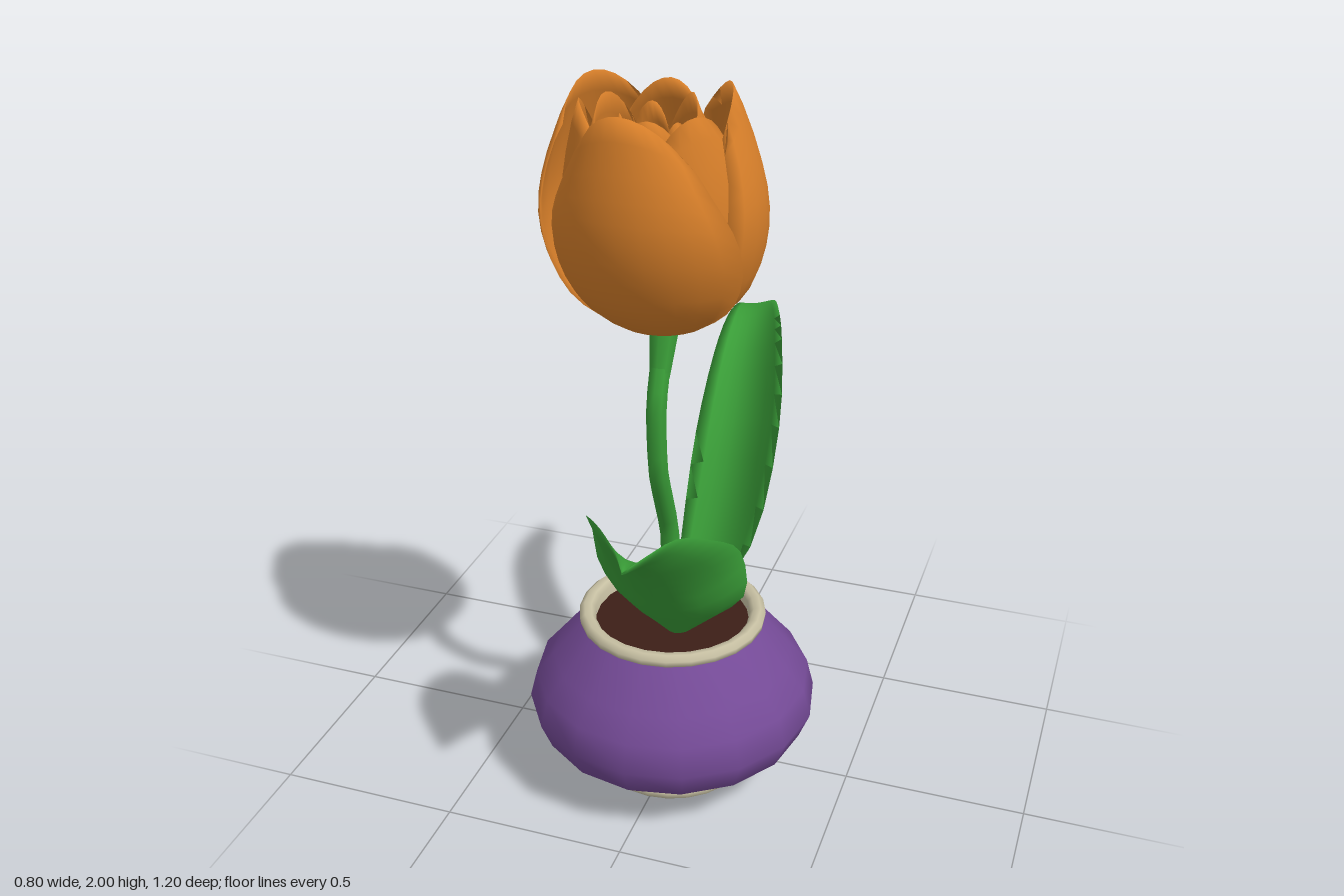
import * as THREE from 'three';
import { ParametricGeometry } from 'three/addons/geometries/ParametricGeometry.js';

const V = (x, y, z) => new THREE.Vector3(x, y, z);
const paint = (color, side = THREE.FrontSide) =>
  new THREE.MeshStandardMaterial({ color, side });
const POT_Z = 0.06;

export function createModel() {
  const model = new THREE.Group();
  const orange = paint(0xd9802a, THREE.DoubleSide);
  const green = paint(0x3a9e38, THREE.DoubleSide);
  const purple = paint(0x744a96, THREE.DoubleSide);
  const cream = paint(0xc6bfa2);
  const brown = paint(0x3d1f17);

  const add = (name, geometry, material, parent = model) => {
    const mesh = new THREE.Mesh(geometry, material);
    mesh.name = name;
    parent.add(mesh);
    return mesh;
  };

  // Thin closed blade: the section runs across one face and back along the other.
  // point(u, v, t, target): u from -1 to 1 across, v from base to tip, t signed half thickness
  const blade = (point, thickness, across, along) =>
    new ParametricGeometry((s, v, target) => {
      const front = s <= 0.5;
      const u = front ? s * 4 - 1 : 3 - s * 4;
      const edge = Math.sqrt(Math.max(0, 1 - u * u)) * Math.sqrt(Math.max(0, 1 - v ** 6));
      point(u, v, (front ? 1 : -1) * thickness * edge, target);
    }, across * 2, along);

  // Pot, made of turned profiles
  const lathe = (name, profile, material, sides) => {
    const points = profile.map(([r, y]) => new THREE.Vector2(r, y));
    add(name, new THREE.LatheGeometry(points, sides), material).position.z = POT_Z;
  };
  lathe('potBody', [[0.18, 0.04], [0.23, 0.06], [0.31, 0.105], [0.37, 0.155], [0.4, 0.23],
    [0.38, 0.31], [0.33, 0.37], [0.24, 0.48], [0.215, 0.48]], purple, 16);
  lathe('potFoot', [[0, 0], [0.2, 0], [0.215, 0.012], [0.217, 0.03], [0.205, 0.048],
    [0.18, 0.052]], cream, 24);
  lathe('potRim', [[0.21, 0.45], [0.24, 0.472], [0.255, 0.482], [0.257, 0.498], [0.243, 0.511],
    [0.224, 0.508], [0.213, 0.495], [0.21, 0.45]], cream, 24);
  const soil = add('soil', new THREE.CircleGeometry(0.22, 16), brown);
  soil.rotation.x = -Math.PI / 2;
  soil.position.set(0, 0.47, POT_Z);

  // Bent stem with a flared top under the flower
  const stemPath = new THREE.CatmullRomCurve3([
    V(0, 0.46, 0.075), V(0, 0.62, 0.075), V(0, 0.77, 0.085), V(0, 0.98, 0.168),
    V(0, 1.17, 0.182), V(0, 1.32, 0.132), V(0, 1.38, 0.118)], false, 'catmullrom', 0.3);
  add('stem', new THREE.TubeGeometry(stemPath, 16, 0.027, 8), green);
  const flare = add('stemTop', new THREE.CylinderGeometry(0.04, 0.027, 0.13, 8), green);
  flare.position.set(0, 1.31, 0.136);
  flare.rotation.x = -0.3;

  // Leaves: a curved sheet through a left edge, a sagging midrib and a right edge
  const leaf = (name, left, middle, right, normal) => {
    const [L, M, R] = [left, middle, right].map(
      (pts) => new THREE.CatmullRomCurve3(pts.map((p) => V(...p))));
    const n = V(...normal).normalize();
    add(name, blade((u, v, t, target) => {
      const l = L.getPoint(v), m = M.getPoint(v), r = R.getPoint(v);
      target.copy(m).multiplyScalar(1 - u * u)
        .addScaledVector(l, (u * u - u) / 2)
        .addScaledVector(r, (u * u + u) / 2)
        .addScaledVector(n, t);
    }, 0.008, 8, 18), green);
  };
  leaf('backLeaf',
    [[0, 0.48, 0.05], [0, 0.7, -0.02], [0, 0.95, -0.14], [0, 1.12, -0.3],
      [0, 1.18, -0.42], [0, 1.18, -0.52], [0, 1.15, -0.6]],
    [[0.03, 0.47, 0.04], [0.1, 0.68, -0.05], [0.12, 0.97, -0.2], [0.1, 1.12, -0.33],
      [0.08, 1.18, -0.44], [0.05, 1.18, -0.53], [0.015, 1.14, -0.6]],
    [[0.06, 0.48, 0.06], [0.21, 0.72, 0.03], [0.25, 1.03, -0.08], [0.2, 1.2, -0.27],
      [0.15, 1.23, -0.41], [0.1, 1.2, -0.53], [0.03, 1.14, -0.6]],
    [0, 1, 1]);
  leaf('frontLeaf',
    [[-0.02, 0.48, 0.08], [-0.17, 0.62, 0.13], [-0.18, 0.8, 0.19], [-0.13, 0.93, 0.35],
      [-0.04, 0.98, 0.48], [0.03, 0.97, 0.56], [0.06, 0.945, 0.6]],
    [[0.03, 0.47, 0.12], [0.03, 0.58, 0.21], [0.03, 0.7, 0.3], [0.04, 0.82, 0.4],
      [0.05, 0.9, 0.49], [0.06, 0.93, 0.56], [0.06, 0.94, 0.6]],
    [[0.08, 0.48, 0.08], [0.22, 0.62, 0.12], [0.23, 0.8, 0.19], [0.2, 0.92, 0.35],
      [0.15, 0.98, 0.47], [0.1, 0.97, 0.56], [0.06, 0.945, 0.6]],
    [0, -1, 1]);

  // Flower: rings of cupped petals, each overlapping the next, leaning forward with height
  const flower = new THREE.Group();
  flower.name = 'flower';
  model.add(flower);
  const cup = new THREE.SplineCurve([[0.03, 1.36], [0.13, 1.41], [0.21, 1.49], [0.252, 1.6],
    [0.262, 1.72], [0.24, 1.85], [0.195, 2]].map(([r, y]) => new THREE.Vector2(r, y)));
  const petal = (name, angle, scale, top, half, swirl) => {
    add(name, blade((u, v, t, target) => {
      const p = cup.getPoint(v);
      const a = angle + u * half * (1 - 0.42 * v ** 3);
      const r = p.x * scale * (1 + swirl * u) + t;
      const y = 1.36 + (p.y - 1.36) * (top - 1.36) / 0.64 - 0.1 * u * u * v ** 3;
      target.set(Math.sin(a) * r, y, 0.12 + 0.16 * (y - 1.36) + Math.cos(a) * r);
    }, 0.009, 10, 14), orange, flower);
  };
  const rings = [
    { name: 'outerPetal', turn: 0, scale: 1, top: 1.995, half: 1.22, swirl: 0.05 },
    { name: 'middlePetal', turn: 1.05, scale: 0.82, top: 1.975, half: 1.2, swirl: 0.08 },
    { name: 'innerPetal', turn: 0.3, scale: 0.6, top: 1.965, half: 1.25, swirl: 0.12 },
    { name: 'heartPetal', turn: 1.3, scale: 0.38, top: 1.94, half: 1.3, swirl: 0.15 },
  ];
  for (const { name, turn, scale, top, half, swirl } of rings) {
    for (let i = 0; i < 3; i++) {
      const height = top - (i === 0 ? 0.02 : 0);
      petal(`${name}${i + 1}`, turn + i * Math.PI * 2 / 3, scale, height, half, swirl);
    }
  }
  return model;
}
